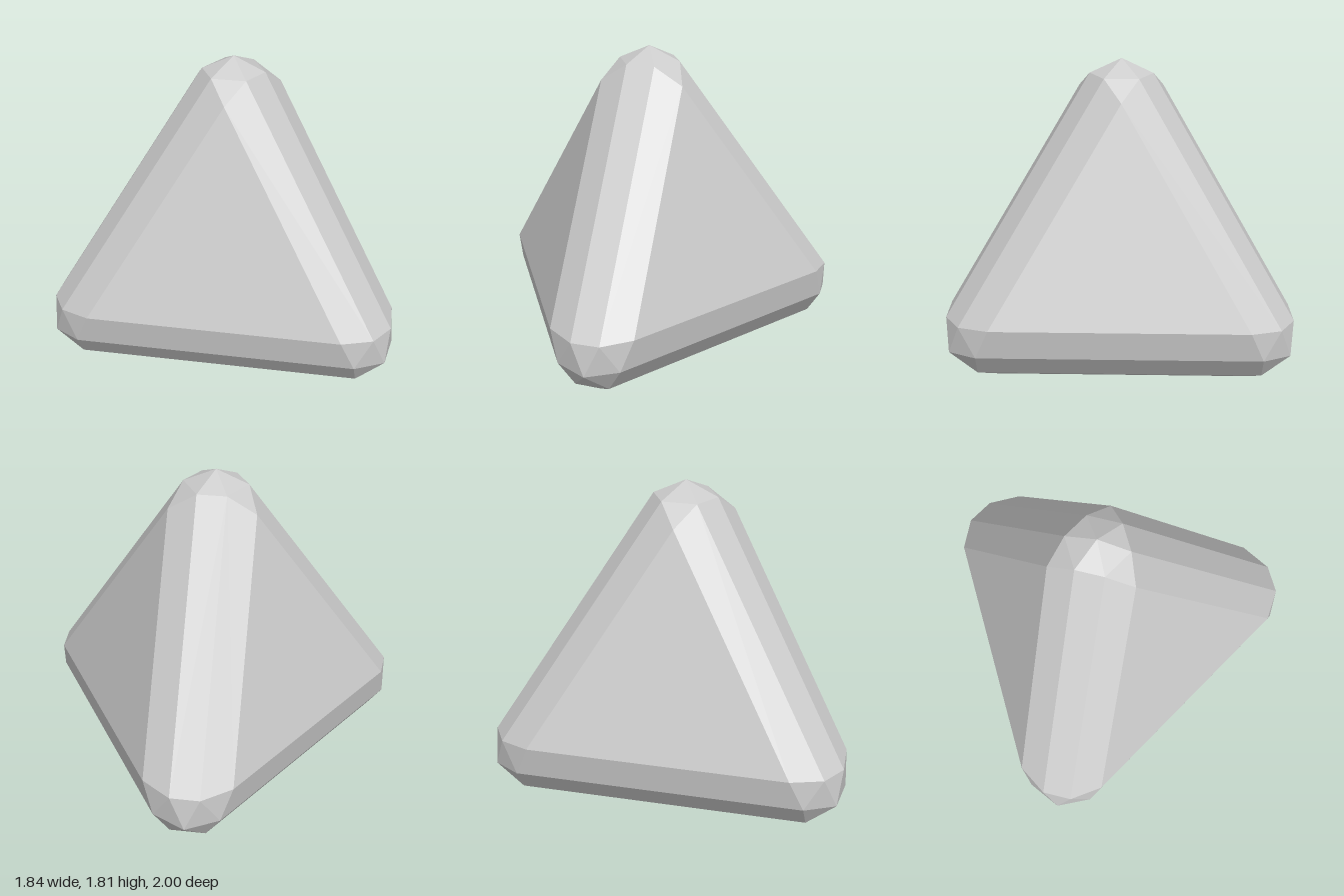
import * as THREE from 'three';
import { ConvexGeometry } from 'three/addons/geometries/ConvexGeometry.js';

const CORE = 0.907;       // centre to the middle of each rounded corner
const FACE = 0.302;       // corner middle out to the flat faces
const TIP = 0.294;        // corner middle out to the tip
const BEVEL = 0.268;      // corner middle out to the bevel lines
const OVERHANG = 0.076;   // bevel lines run a little past the corner middle

// Unit directions to the four corners of a regular tetrahedron
const corners = [new THREE.Vector3(0, 1, 0)];
for (let i = 0; i < 3; i++) {
  const a = (i * Math.PI * 2) / 3;
  const r = Math.sqrt(8) / 3;
  corners.push(new THREE.Vector3(r * Math.cos(a), -1 / 3, r * Math.sin(a)));
}

// Direction a third of the way round the arc from a to b
function thirdOfArc(a, b) {
  const angle = a.angleTo(b);
  return a.clone().multiplyScalar(Math.sin((angle * 2) / 3))
    .addScaledVector(b, Math.sin(angle / 3))
    .normalize();
}

// Tip, three face corners and six bevel-line ends of one rounded corner
function cornerPoints(corner) {
  const middle = corner.clone().multiplyScalar(CORE);
  const others = corners.filter((c) => c !== corner);
  const points = [middle.clone().addScaledVector(corner, TIP)];
  for (const far of others) {
    const normal = far.clone().negate();
    points.push(middle.clone().addScaledVector(normal, FACE));

    // The edge running to the far corner lies between the two other faces
    const [n1, n2] = others.filter((c) => c !== far).map((c) => c.clone().negate());
    const outward = corner.clone().sub(far).normalize();
    for (const dir of [thirdOfArc(n1, n2), thirdOfArc(n2, n1)]) {
      points.push(middle.clone().addScaledVector(dir, BEVEL).addScaledVector(outward, OVERHANG));
    }
  }
  return points;
}

export function createModel() {
  const group = new THREE.Group();
  group.name = 'bevelledTetrahedron';

  // Faces, bevelled edges and rounded corners as one faceted solid
  const geometry = new ConvexGeometry(corners.flatMap(cornerPoints));
  geometry.translate(-0.213, FACE * 2, 0);
  const material = new THREE.MeshStandardMaterial({ color: 0xcccccc, flatShading: true });
  const body = new THREE.Mesh(geometry, material);
  body.name = 'body';
  group.add(body);
  return group;
}
